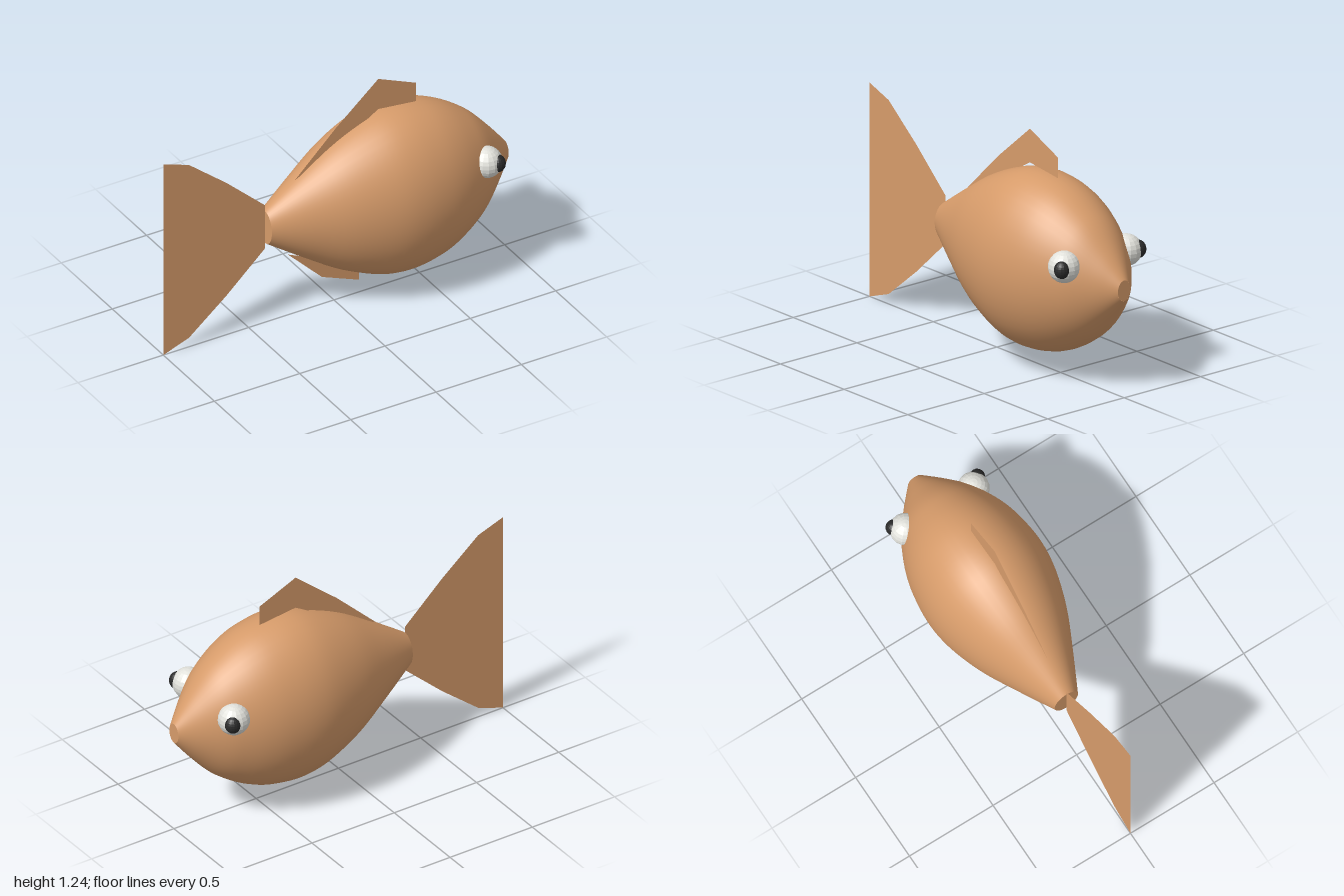
import * as THREE from 'three';

const MID_Y = 0.58;

export function createModel() {
  const fish = new THREE.Group();
  fish.name = 'fish';

  const skin = new THREE.MeshStandardMaterial({ color: 0xd69b6a, side: THREE.DoubleSide });
  skin.name = 'orange skin';
  const white = new THREE.MeshStandardMaterial({ color: 0xe2e2dc, flatShading: true });
  white.name = 'eye white';
  const black = new THREE.MeshStandardMaterial({ color: 0x2a2a2a, flatShading: true });
  black.name = 'pupil black';

  const add = (name, geometry, material) => {
    const mesh = new THREE.Mesh(geometry, material);
    mesh.name = name;
    fish.add(mesh);
    return mesh;
  };

  // Turns a shape around the y axis into one lying along x, narrowed sideways
  const layAlongX = (geometry) =>
    geometry.rotateZ(-Math.PI / 2).scale(1, 1, 0.734).translate(0, MID_Y, 0);

  // Body: (radius, distance along the fish) from tail to mouth
  const profile = new THREE.SplineCurve([
    [0.095, -0.405], [0.235, -0.2], [0.362, 0], [0.447, 0.2], [0.47, 0.35],
    [0.452, 0.5], [0.41, 0.62], [0.345, 0.73], [0.28, 0.81], [0.18, 0.9],
    [0.1, 0.965], [0.055, 1],
  ].map(([r, x]) => new THREE.Vector2(r, x)));
  add('body', layAlongX(new THREE.LatheGeometry(profile.getPoints(48), 48)), skin);

  // Flat ends of the body
  add('mouth', layAlongX(new THREE.CircleGeometry(0.055, 32).rotateX(-Math.PI / 2).translate(0, 1, 0)), skin);
  add('tailEnd', layAlongX(new THREE.CircleGeometry(0.095, 32).rotateX(Math.PI / 2).translate(0, -0.405, 0)), skin);

  // Paper-thin fins in the middle plane
  const addFin = (name, points) => {
    const shape = new THREE.Shape(points.map(([x, y]) => new THREE.Vector2(x, y)));
    add(name, new THREE.ShapeGeometry(shape), skin);
  };
  const tailTop = [[-0.405, 0.71], [-0.63, 0.917], [-0.85, 1.097], [-1, 1.15]];
  const tailBottom = tailTop.map(([x, y]) => [x, 2 * MID_Y - y]).reverse();
  addFin('tailFin', [...tailTop, ...tailBottom]);
  addFin('dorsalFin', [
    [-0.23, 0.8], [0.01, 1.032], [0.26, 1.245], [0.48, 1.15],
    [0.48, 1.04], [0.26, 1.065], [0.02, 0.92],
  ]);
  addFin('bellyFin', [[-0.27, 0.37], [-0.07, 0.17], [0.148, 0.082], [0.148, 0.16], [-0.07, 0.28]]);

  // Bulging eyes with pupils turned forward and outward
  for (const [side, s] of [['right', 1], ['left', -1]]) {
    add(side + 'Eye', new THREE.SphereGeometry(0.083, 16, 12), white)
      .position.set(0.773, 0.693, s * 0.203);
    const pupil = add(side + 'Pupil', new THREE.SphereGeometry(0.041, 16, 12), black);
    pupil.scale.y = 1.15;
    pupil.position.set(0.811, 0.697, s * 0.25);
  }

  return fish;
}
